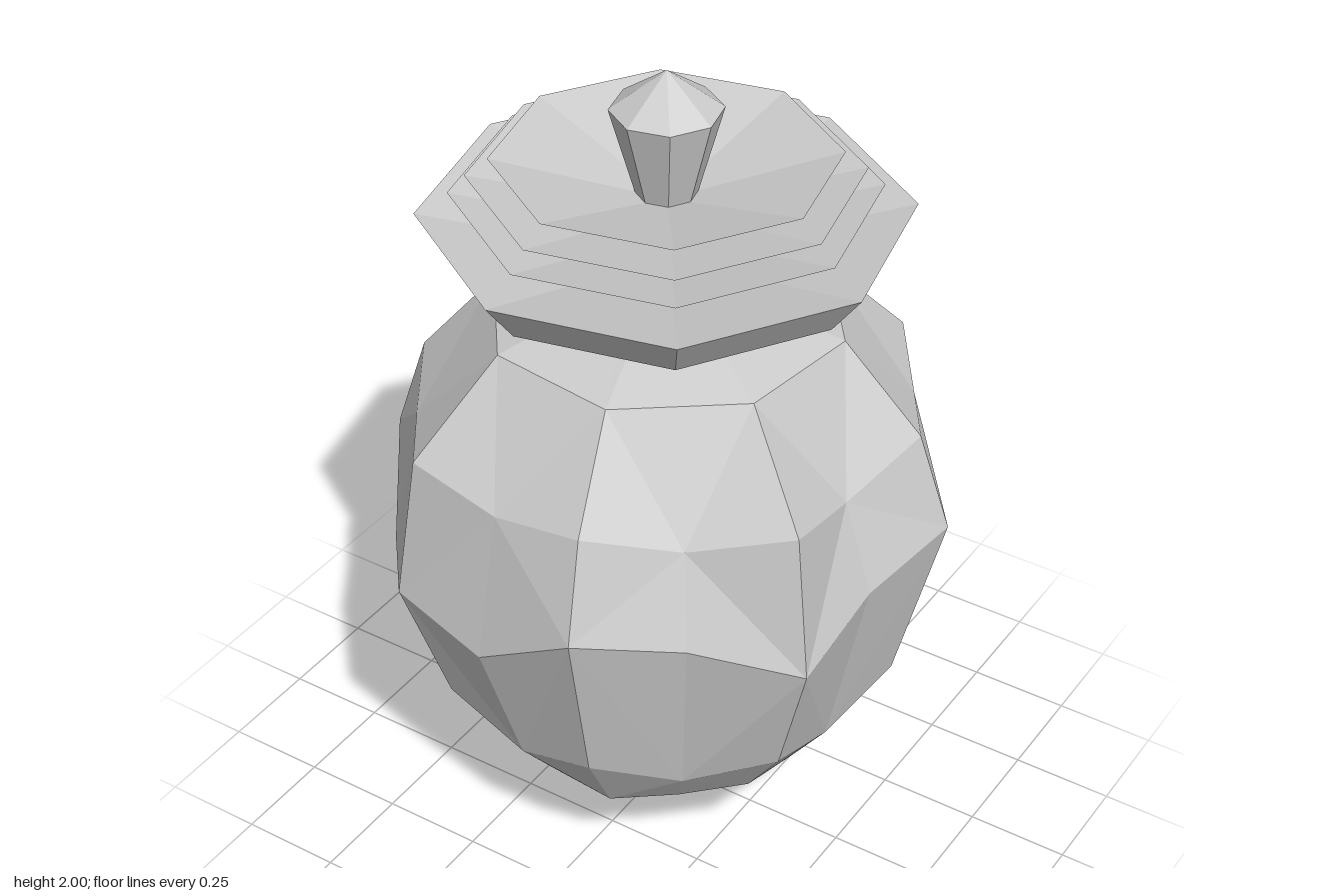
import * as THREE from 'three';

const material = new THREE.MeshStandardMaterial({ color: 0xcccccc, flatShading: true, side: THREE.DoubleSide });
const DEG = Math.PI / 180;

function part(name, geometry) {
  const mesh = new THREE.Mesh(geometry, material);
  mesh.name = name;
  return mesh;
}

// Eight-sided turned part from [radius, height] points, bottom to top
function turned(name, points, startDegrees) {
  const profile = points.map(([r, y]) => new THREE.Vector2(r, y));
  const geometry = new THREE.LatheGeometry(profile, 8, startDegrees * DEG).toNonIndexed();
  geometry.computeVertexNormals();
  return part(name, geometry);
}

// Column profiles of the faceted jar, [radius, height] from tip to top
const ridgeHigh = [[0, 0], [0.23, 0.105], [0.43, 0.26], [0.57, 0.48], [0.683, 0.93], [0.606, 1.17], [0.42, 1.39], [0.155, 1.47], [0, 1.47]];
const ridgeLow = [[0, 0], [0.23, 0.105], [0.435, 0.29], [0.575, 0.475], [0.69, 0.815], [0.635, 1.165], [0.42, 1.39], [0.155, 1.47], [0, 1.47]];
const shallow = [[0, 0], [0.215, 0.105], [0.41, 0.265], [0.52, 0.40], [0.648, 0.77], [0.58, 1.13], [0.388, 1.39], [0.143, 1.47], [0, 1.47]];
const groove = [[0, 0], [0.215, 0.105], [0.40, 0.265], [0.50, 0.40], [0.607, 0.88], [0.53, 1.10], [0.388, 1.39], [0.143, 1.47], [0, 1.47]];
const columns = [ridgeHigh, groove, ridgeLow, groove, ridgeHigh, shallow, ridgeLow, shallow];

// Faceted body: sixteen columns, the pattern repeats every half turn
function jarGeometry() {
  const point = (c, row) => {
    const angle = (14.5 + 22.5 * c) * DEG;
    const [r, y] = columns[c % 8][row];
    return [r * Math.sin(angle), y, r * Math.cos(angle)];
  };
  const positions = [];
  const triangle = (...corners) => corners.forEach((p) => positions.push(...p));
  const lastRow = ridgeHigh.length - 1;
  for (let c = 0; c < 16; c++) {
    for (let row = 0; row < lastRow; row++) {
      const a = point(c, row), b = point(c + 1, row);
      const d = point(c, row + 1), e = point(c + 1, row + 1);
      if (row === 0) triangle(a, e, d);
      else if (row === lastRow - 1) triangle(a, b, d);
      // Diagonals fan out from the middle of each panel
      else if ((c + row) % 2 === 0) triangle(a, b, e), triangle(a, e, d);
      else triangle(a, b, d), triangle(b, e, d);
    }
  }
  const geometry = new THREE.BufferGeometry();
  geometry.setAttribute('position', new THREE.Float32BufferAttribute(positions, 3));
  geometry.computeVertexNormals();
  return geometry;
}

export function createModel() {
  const model = new THREE.Group();
  model.name = 'liddedJar';

  model.add(part('jarBody', jarGeometry()));

  // Four nested dishes, each flaring up and sloping inward
  model.add(turned('tieredLid', [
    [0, 1.55], [0.482, 1.55], [0.56, 1.654],
    [0.25, 1.582], [0.484, 1.706],
    [0.27, 1.655], [0.445, 1.749],
    [0.2, 1.695], [0.393, 1.79],
    [0, 1.68],
  ], 35));

  model.add(turned('lidKnob', [[0, 1.68], [0.065, 1.68], [0.128, 1.907], [0, 2]], 36));

  return model;
}
